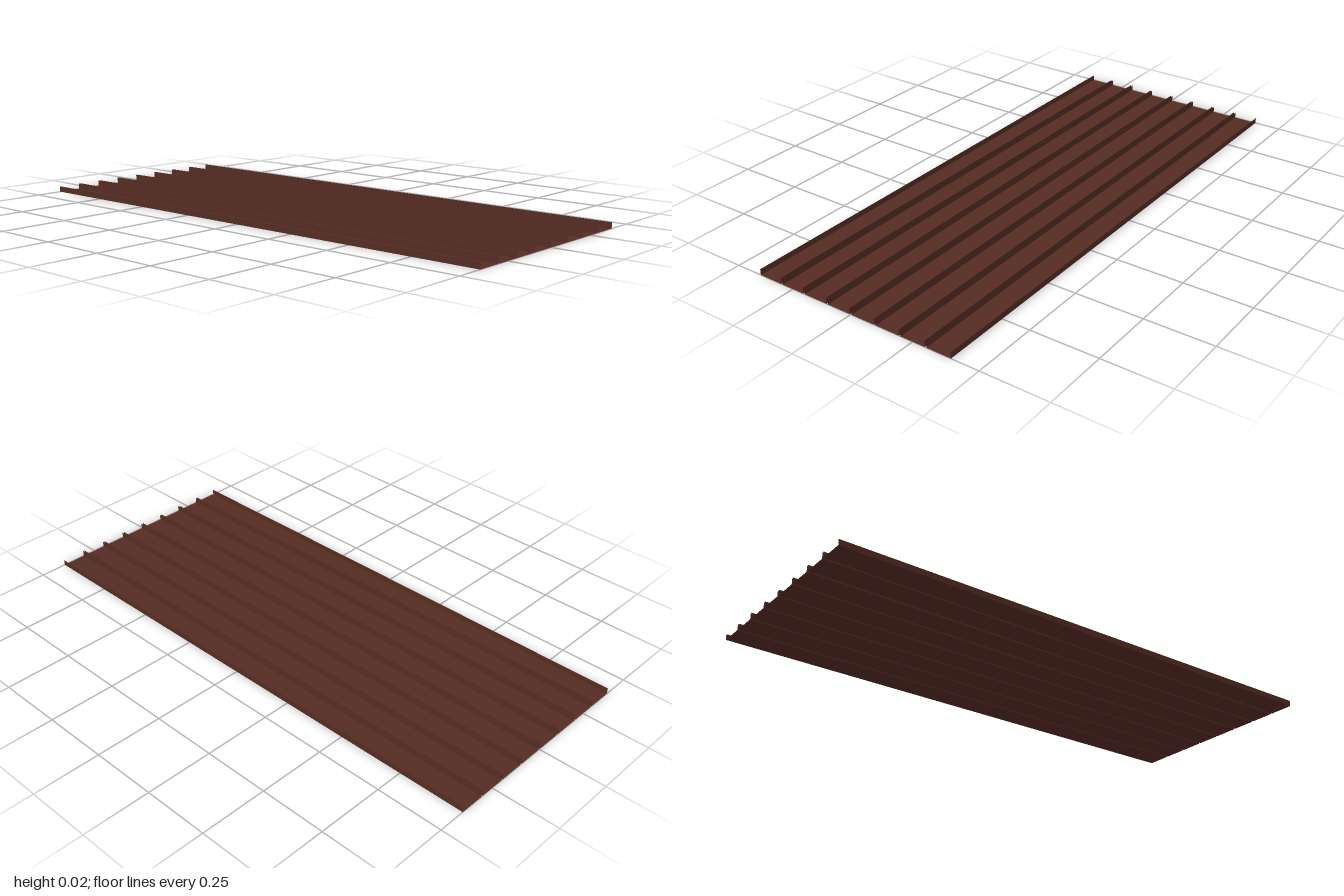
import * as THREE from 'three';

const LENGTH = 2, PITCH = 0.1, WIDTH = 0.093, HEIGHT = 0.022, COUNT = 8;

export function createModel() {
  const group = new THREE.Group();
  group.name = 'ribbedSheet';
  const brown = new THREE.MeshStandardMaterial({ color: 0x552c22, side: THREE.DoubleSide });
  brown.name = 'chocolate brown';

  // Flat pan facing up, and upright flange facing +x
  const panGeometry = new THREE.PlaneGeometry(WIDTH, LENGTH).rotateX(-Math.PI / 2);
  const flangeGeometry = new THREE.PlaneGeometry(LENGTH, HEIGHT)
    .rotateY(Math.PI / 2).translate(0, HEIGHT / 2, 0);

  // Side-by-side trays of thin sheet with a narrow gap between neighbours
  for (let i = 0; i < COUNT; i++) {
    const tray = new THREE.Group();
    tray.name = `tray${i + 1}`;
    tray.position.x = (i - (COUNT - 1) / 2) * PITCH;

    const pan = new THREE.Mesh(panGeometry, brown);
    pan.name = 'pan';
    tray.add(pan);

    for (const side of [-1, 1]) {
      const flange = new THREE.Mesh(flangeGeometry, brown);
      flange.name = side > 0 ? 'leftFlange' : 'rightFlange';
      flange.position.x = side * WIDTH / 2;
      if (side < 0) flange.rotation.y = Math.PI;
      tray.add(flange);
    }
    group.add(tray);
  }
  return group;
}
